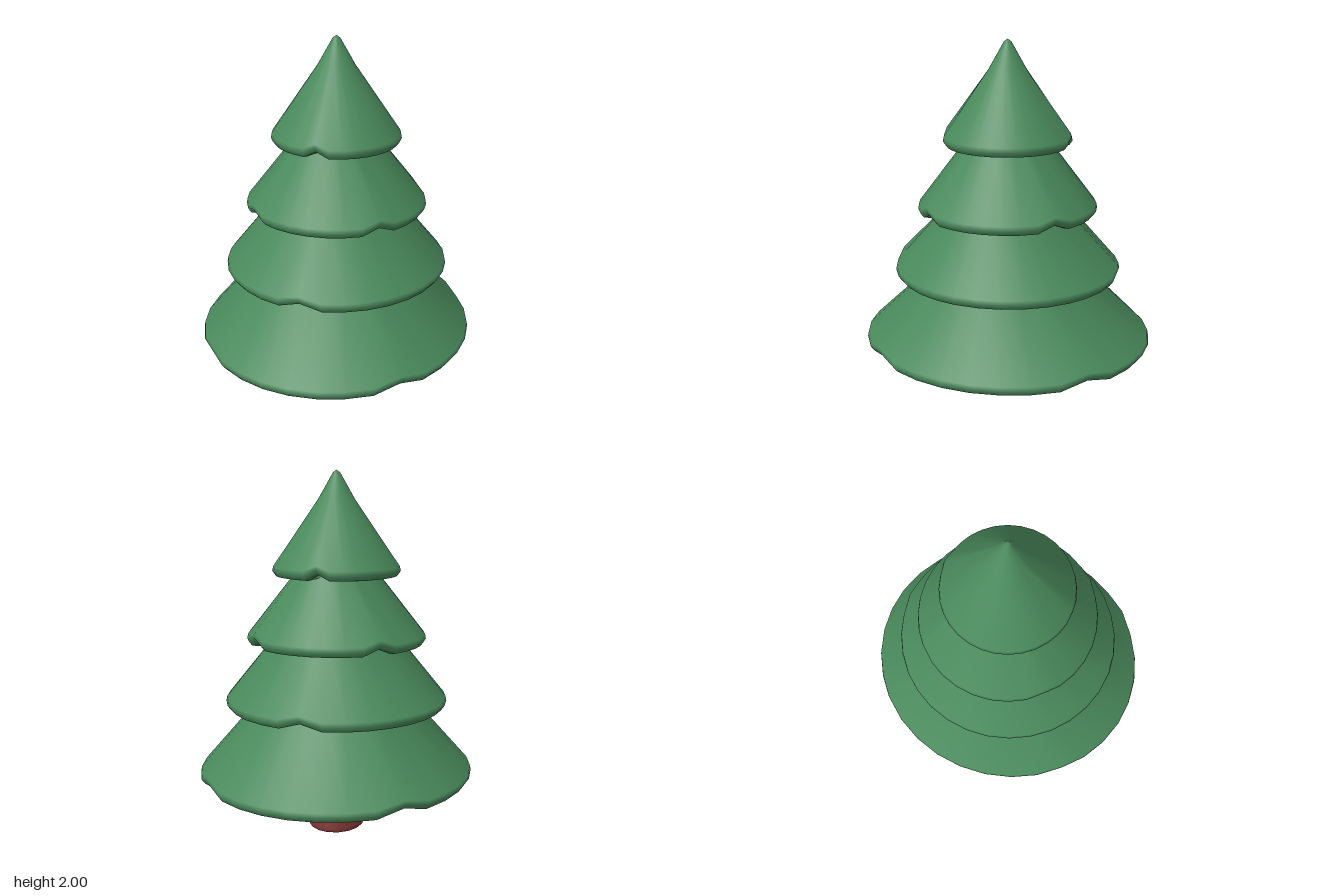
import * as THREE from 'three';
import { mergeVertices } from 'three/addons/utils/BufferGeometryUtils.js';

const SEGMENTS = 32;

// Each tier: bottom height, rim radii along x and z, radii where the next tier begins,
// height of that neck, and whether the notches sit on the diagonals or at front and back
const TIERS = [
  { y: 0.31, rx: 0.76, rz: 0.81, nx: 0.45, nz: 0.43, top: 0.72, diagonal: true },
  { y: 0.71, rx: 0.615, rz: 0.63, nx: 0.36, nz: 0.35, top: 1.075, diagonal: false },
  { y: 1.06, rx: 0.495, rz: 0.495, nx: 0.23, nz: 0.24, top: 1.445, diagonal: true },
  { y: 1.43, rx: 0.352, rz: 0.352, nx: 0.1, nz: 0.1, top: 1.845, diagonal: false },
];

// Rows of the foliage, from the hollow underside up to the tip: radii, height, notch lift
function foliageRows() {
  const rows = [
    { rx: 0, rz: 0, y: 0.42, lift: 0 },
    { rx: 0.07, rz: 0.1, y: 0.4, lift: 0 },
    { rx: 0.2, rz: 0.22, y: 0.325, lift: 0 },
  ];
  for (const t of TIERS) {
    const row = (inset, dy, lift) => rows.push({
      rx: t.rx - inset, rz: t.rz - inset, y: t.y + dy, lift, diagonal: t.diagonal,
    });
    row(0.05, 0, 0.035);
    row(0.018, 0.005, 0.035);
    row(0, 0.03, 0.035);
    row(0.005, 0.055, 0.03);
    rows.push({ rx: t.nx, rz: t.nz, y: t.top, lift: 0 });
  }
  rows.push({ rx: 0.02, rz: 0.02, y: 1.985, lift: 0 }, { rx: 0, rz: 0, y: 2, lift: 0 });
  return rows;
}

// Lathe whose rows are elliptical and can be lifted at the notch directions
function ellipticalLathe(rows, segments) {
  const geo = new THREE.LatheGeometry(rows.map((r) => new THREE.Vector2(r.rx, r.y)), segments);
  const pos = geo.attributes.position;
  for (let s = 0; s <= segments; s++) {
    const step = s % segments;
    const angle = (step / segments) * Math.PI * 2;
    rows.forEach((r, j) => {
      const notch = r.diagonal
        ? step % (segments / 4) === segments / 8
        : step % (segments / 2) === 0;
      const y = r.y + (notch ? r.lift || 0 : 0);
      pos.setXYZ(s * rows.length + j, r.rx * Math.sin(angle), y, r.rz * Math.cos(angle));
    });
  }
  // Weld the seam so the shading runs smoothly all round
  geo.deleteAttribute('uv');
  geo.deleteAttribute('normal');
  const welded = mergeVertices(geo, 1e-4);
  welded.computeVertexNormals();
  return welded;
}

export function createModel() {
  const tree = new THREE.Group();
  tree.name = 'tree';

  // Four-tier foliage
  const foliage = new THREE.Mesh(
    ellipticalLathe(foliageRows(), SEGMENTS),
    new THREE.MeshStandardMaterial({ color: 0x4a8a5c }),
  );
  foliage.name = 'foliage';
  tree.add(foliage);

  // Trunk, pinched towards the top; doubled rows keep the base edge firm
  const trunk = new THREE.Mesh(
    ellipticalLathe([
      { rx: 0, rz: 0, y: 0 },
      { rx: 0.14, rz: 0.16, y: 0 },
      { rx: 0.15, rz: 0.17, y: 0.001 },
      { rx: 0.157, rz: 0.176, y: 0.01 },
      { rx: 0.153, rz: 0.173, y: 0.025 },
      { rx: 0.05, rz: 0.112, y: 0.31 },
      { rx: 0.02, rz: 0.09, y: 0.41 },
      { rx: 0, rz: 0, y: 0.415 },
    ], 16),
    new THREE.MeshStandardMaterial({ color: 0x7a3432 }),
  );
  trunk.name = 'trunk';
  tree.add(trunk);

  return tree;
}
